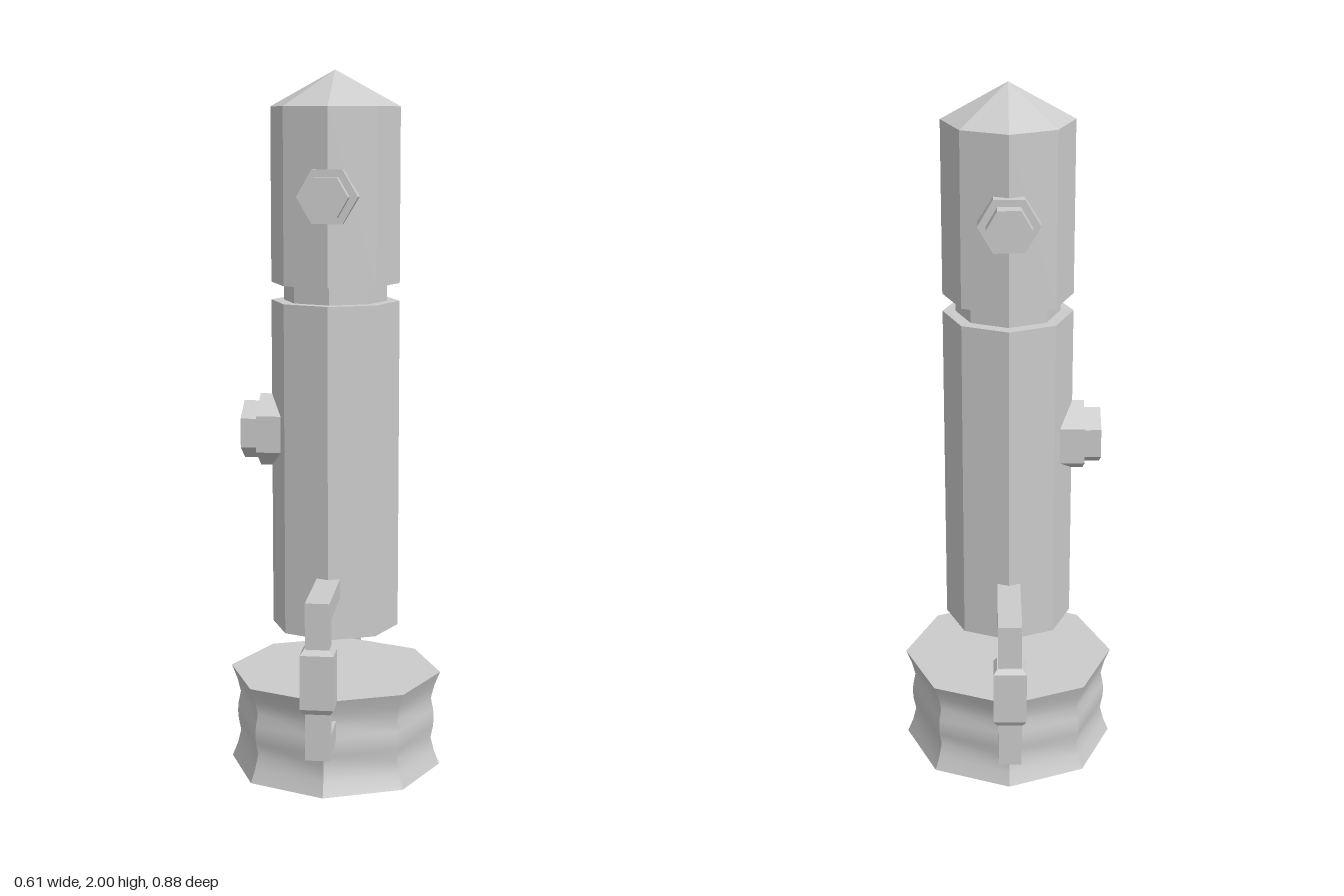
import * as THREE from 'three';
import { toCreasedNormals } from 'three/addons/utils/BufferGeometryUtils.js';

const material = new THREE.MeshStandardMaterial({ color: 0xcccccc, flatShading: true });
const smoothMaterial = new THREE.MeshStandardMaterial({ color: 0xcccccc });

function part(name, geometry, mat = material) {
  const mesh = new THREE.Mesh(geometry, mat);
  mesh.name = name;
  return mesh;
}

// Solid turned around the y axis from [radius, y] pairs, bottom to top
function turned(profile, sides = 8) {
  return new THREE.LatheGeometry(profile.map(([r, y]) => new THREE.Vector2(r, y)), sides);
}

// Hexagonal flange with a smaller nut on its end, pointing along +y from the column axis
function createFitting(name, flangeRadius, flangeEnd, nutRadius, nutEnd) {
  const group = new THREE.Group();
  group.name = name;
  const hex = (label, radius, start, end) => {
    const g = new THREE.CylinderGeometry(radius, radius, end - start, 6, 1, false, Math.PI / 2);
    g.translate(0, (start + end) / 2, 0);
    group.add(part(label, g));
  };
  hex('flange', flangeRadius, 0.1, flangeEnd);
  hex('nut', nutRadius, flangeEnd - 0.02, nutEnd);
  return group;
}

// Square bypass pipe with a chamfered valve body, reaching out along +z
function createBypass(name) {
  const group = new THREE.Group();
  group.name = name;

  // C-shaped outline in (z, y), extruded across x
  const outline = new THREE.Shape([
    [0.15, 0.54], [0.37, 0.54], [0.37, 0.215], [0.25, 0.215],
    [0.25, 0.155], [0.425, 0.155], [0.425, 0.595], [0.15, 0.595],
  ].map(([z, y]) => new THREE.Vector2(z, y)));
  const pipe = new THREE.ExtrudeGeometry(outline, { depth: 0.066, bevelEnabled: false });
  pipe.translate(0, 0, -0.033);
  pipe.rotateY(-Math.PI / 2);
  group.add(part('bypassPipe', pipe));

  // Four-sided body: half width 1 at 45 degrees, then scaled to size
  const s = Math.SQRT2;
  const body = turned([[0, 0.287], [0.78 * s, 0.287], [s, 0.302], [s, 0.453], [0.78 * s, 0.467], [0, 0.467]], 4);
  body.rotateY(Math.PI / 4);
  body.scale(0.046, 1, 0.041);
  body.translate(0, 0, 0.397);
  group.add(part('valveBody', body));
  return group;
}

export function createModel() {
  const model = new THREE.Group();
  model.name = 'pressureColumn';

  // Waisted octagonal base with a soft vertical profile and sharp corners
  const base = turned([
    [0, 0], [0.307, 0], [0.291, 0.04], [0.281, 0.08], [0.288, 0.115], [0.29, 0.14],
    [0.288, 0.165], [0.281, 0.2], [0.291, 0.24], [0.307, 0.28], [0, 0.28],
  ]);
  model.add(part('base', toCreasedNormals(base, 0.6), smoothMaterial));

  // Octagonal column, recessed neck and pointed head
  model.add(part('column', turned([[0, 0.42], [0.182, 0.42], [0.182, 1.362], [0, 1.362]])));
  model.add(part('neck', turned([[0.146, 1.34], [0.146, 1.43]])));
  model.add(part('head', turned([[0, 1.412], [0.182, 1.412], [0.182, 1.9], [0, 2]])));

  // Hexagonal fittings: front and back on the head, one on the column's right side
  for (const side of [1, -1]) {
    const fitting = createFitting(side > 0 ? 'frontFitting' : 'backFitting', 0.084, 0.197, 0.062, 0.237);
    fitting.rotation.x = side * Math.PI / 2;
    fitting.position.y = 1.66;
    model.add(fitting);
  }
  const sideFitting = createFitting('sideFitting', 0.104, 0.215, 0.083, 0.262);
  sideFitting.rotation.z = Math.PI / 2;
  sideFitting.position.y = 0.988;
  model.add(sideFitting);

  // Bypass pipes joining column and base, front and back
  const front = createBypass('frontBypass');
  const back = createBypass('backBypass');
  back.rotation.y = Math.PI;
  model.add(front, back);

  return model;
}
